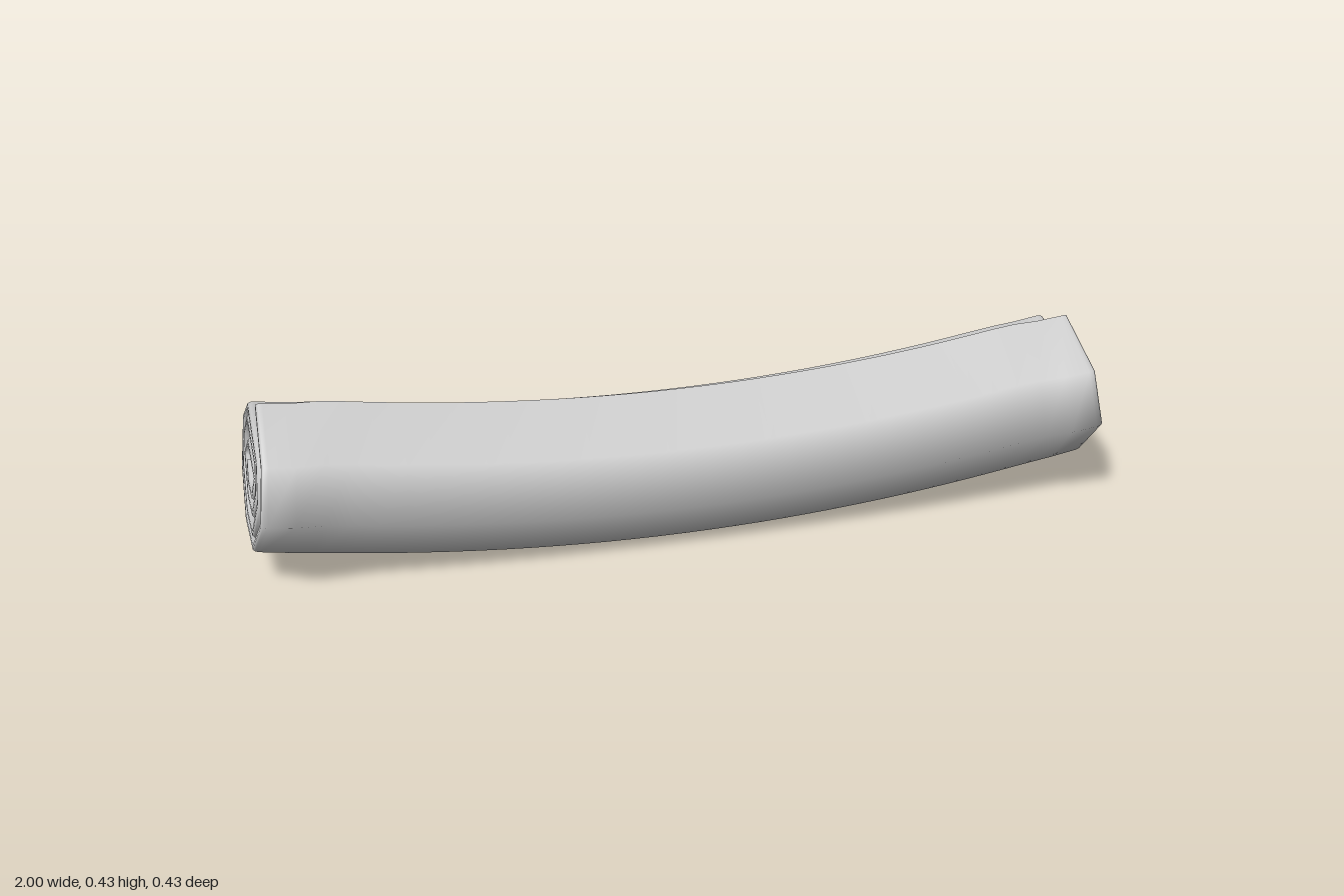
import * as THREE from 'three';

// Centre line of the rolled sheet as [z, y], from the loose flap inward
const SPIRAL = [
  [0.018, 0.326], [0.171, 0.246], [0.203, 0.128], [0.077, 0.009], [-0.075, 0.009],
  [-0.191, 0.085], [-0.204, 0.2], [-0.129, 0.262], [0.079, 0.216], [0.13, 0.142],
  [0.059, 0.035], [-0.055, 0.035], [-0.17, 0.1], [-0.173, 0.178], [-0.129, 0.232],
  [0.055, 0.2], [0.089, 0.146], [0.043, 0.076], [-0.05, 0.076], [-0.146, 0.137],
  [-0.093, 0.189], [0.055, 0.167], [0.018, 0.107], [-0.055, 0.107], [-0.096, 0.141],
].map(([z, y]) => new THREE.Vector2(z, y));
const HALF_THICKNESS = 0.009;

// Mitred outward offset at each spiral point
function miters(points) {
  const normals = points.slice(1).map((p, i) => {
    const d = p.clone().sub(points[i]).normalize();
    return new THREE.Vector2(-d.y, d.x);
  });
  return points.map((_, i) => {
    const a = normals[Math.max(i - 1, 0)];
    const b = normals[Math.min(i, normals.length - 1)];
    const m = a.clone().add(b).normalize();
    return m.divideScalar(Math.max(m.dot(a), 0.6));
  });
}

// Closed outline of the sheet: outer side forward, inner side back
function outline(half) {
  const m = miters(SPIRAL);
  const side = (s) => SPIRAL.map((p, i) => p.clone().addScaledVector(m[i], s * half));
  return [...side(1), ...side(-1).reverse()];
}

function rollGeometry() {
  // Stations along the length, with extra ones that round the rims
  const stations = [];
  for (let i = 0; i <= 32; i++) stations.push({ u: -0.985 + (1.97 * i) / 32, thick: 1 });
  for (const [u, thick] of [[0.995, 0.85], [1, 0.45]]) {
    stations.push({ u, thick });
    stations.unshift({ u: -u, thick });
  }

  const n = SPIRAL.length;
  const loop = 2 * n;
  const positions = [];
  const index = [];
  for (const { u, thick } of stations) {
    const flare = THREE.MathUtils.smoothstep(Math.abs(u), 0.82, 0.98);
    const wide = 0.93 + 0.07 * flare;
    const tall = 1.045 - 0.045 * flare;
    for (const p of outline(HALF_THICKNESS * thick)) {
      // Sag in the middle, ends leaning inward at the top
      positions.push(u * (1 - 0.115 * p.y), p.y * tall + 0.096 * u * u, p.x * wide);
    }
  }

  // Long faces of the sheet
  for (let s = 0; s < stations.length - 1; s++) {
    for (let i = 0; i < loop; i++) {
      const a = s * loop + i;
      const b = s * loop + ((i + 1) % loop);
      index.push(a, b, a + loop, b, b + loop, a + loop);
    }
  }
  // Spiral rims at both ends
  const last = (stations.length - 1) * loop;
  for (let i = 0; i < n - 1; i++) {
    const o = i, o2 = i + 1, k = loop - 1 - i, k2 = loop - 2 - i;
    index.push(last + o, last + o2, last + k2, last + o, last + k2, last + k);
    index.push(o, k2, o2, o, k, k2);
  }

  const geometry = new THREE.BufferGeometry();
  geometry.setAttribute('position', new THREE.Float32BufferAttribute(positions, 3));
  geometry.setIndex(index);
  geometry.computeVertexNormals();
  return geometry;
}

export function createModel() {
  const group = new THREE.Group();
  group.name = 'rolledCarpet';
  const sheet = new THREE.Mesh(rollGeometry(), new THREE.MeshStandardMaterial({ color: 0xcccccc }));
  sheet.name = 'rolledSheet';
  group.add(sheet);
  return group;
}
